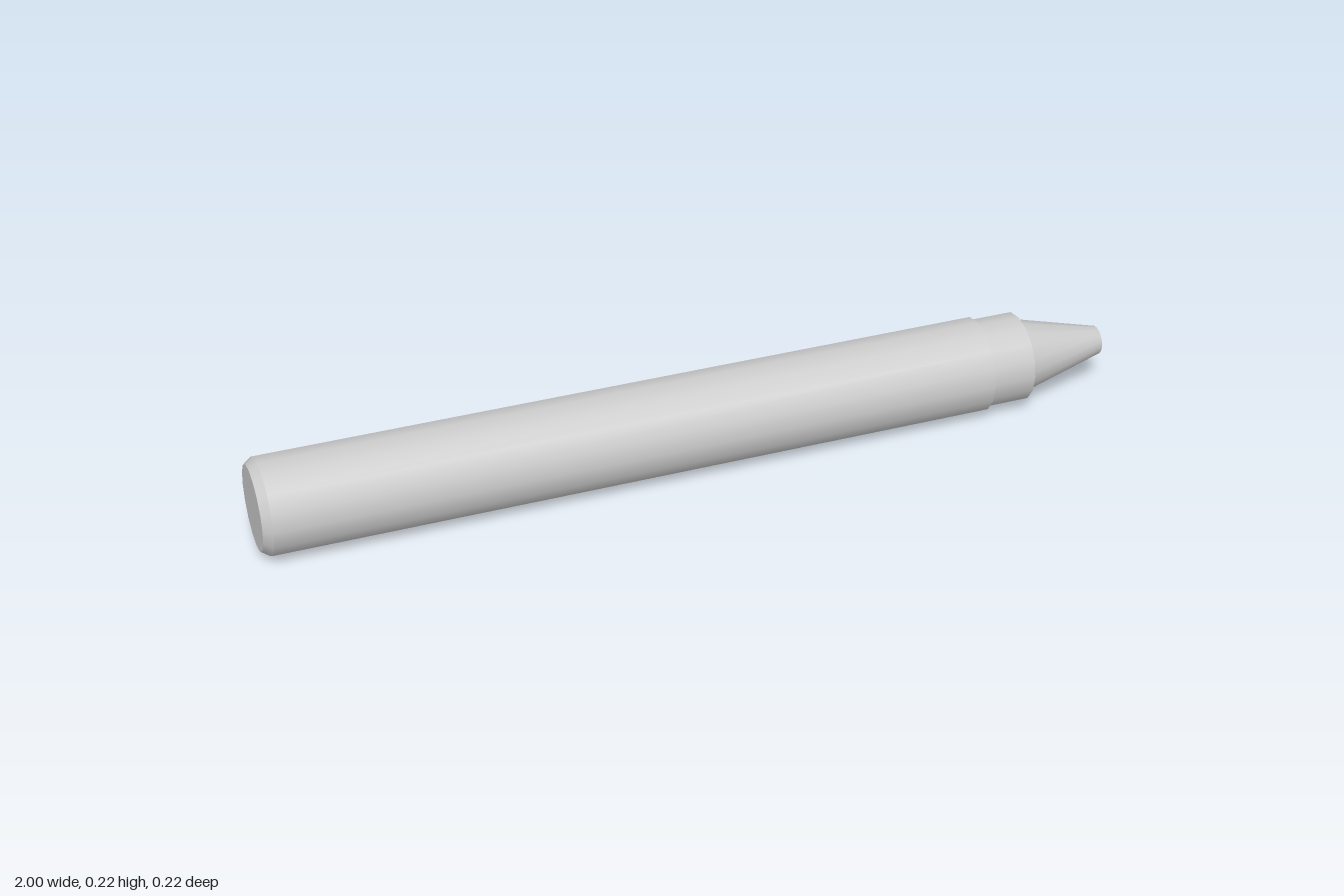
import * as THREE from 'three';
import { mergeGeometries } from 'three/addons/utils/BufferGeometryUtils.js';

const SIDES = 16;
const RADIUS = 0.11;

// Turned part along x: each band is a list of [radius, x]; edges between bands stay sharp.
function turned(name, bands, material) {
  const parts = bands.map((band) =>
    new THREE.LatheGeometry(band.map(([r, x]) => new THREE.Vector2(r, x)), SIDES));
  const geometry = mergeGeometries(parts);
  geometry.rotateZ(-Math.PI / 2);
  const mesh = new THREE.Mesh(geometry, material);
  mesh.name = name;
  return mesh;
}

export function createModel() {
  const material = new THREE.MeshStandardMaterial({ color: 0xcccccc });
  const crayon = new THREE.Group();
  crayon.name = 'crayon';

  // Long wrapper with a step down at its front edge
  crayon.add(turned('wrapper', [
    [[RADIUS, -0.98], [RADIUS, 0.69]],
    [[RADIUS, 0.69], [0.103, 0.69]],
  ], material));

  // Flat rear end with a small bevel
  crayon.add(turned('rearEnd', [
    [[0, -1], [0.096, -1]],
    [[0.096, -1], [RADIUS, -0.98]],
  ], material));

  // Bare wax collar and its shoulder
  crayon.add(turned('collar', [
    [[0.103, 0.69], [0.103, 0.793]],
    [[0.103, 0.793], [0.087, 0.793]],
  ], material));

  // Tapered tip with a flat point
  crayon.add(turned('tip', [
    [[0.087, 0.793], [0.033, 1]],
    [[0.033, 1], [0, 1]],
  ], material));

  crayon.position.y = RADIUS;
  const model = new THREE.Group();
  model.add(crayon);
  return model;
}
